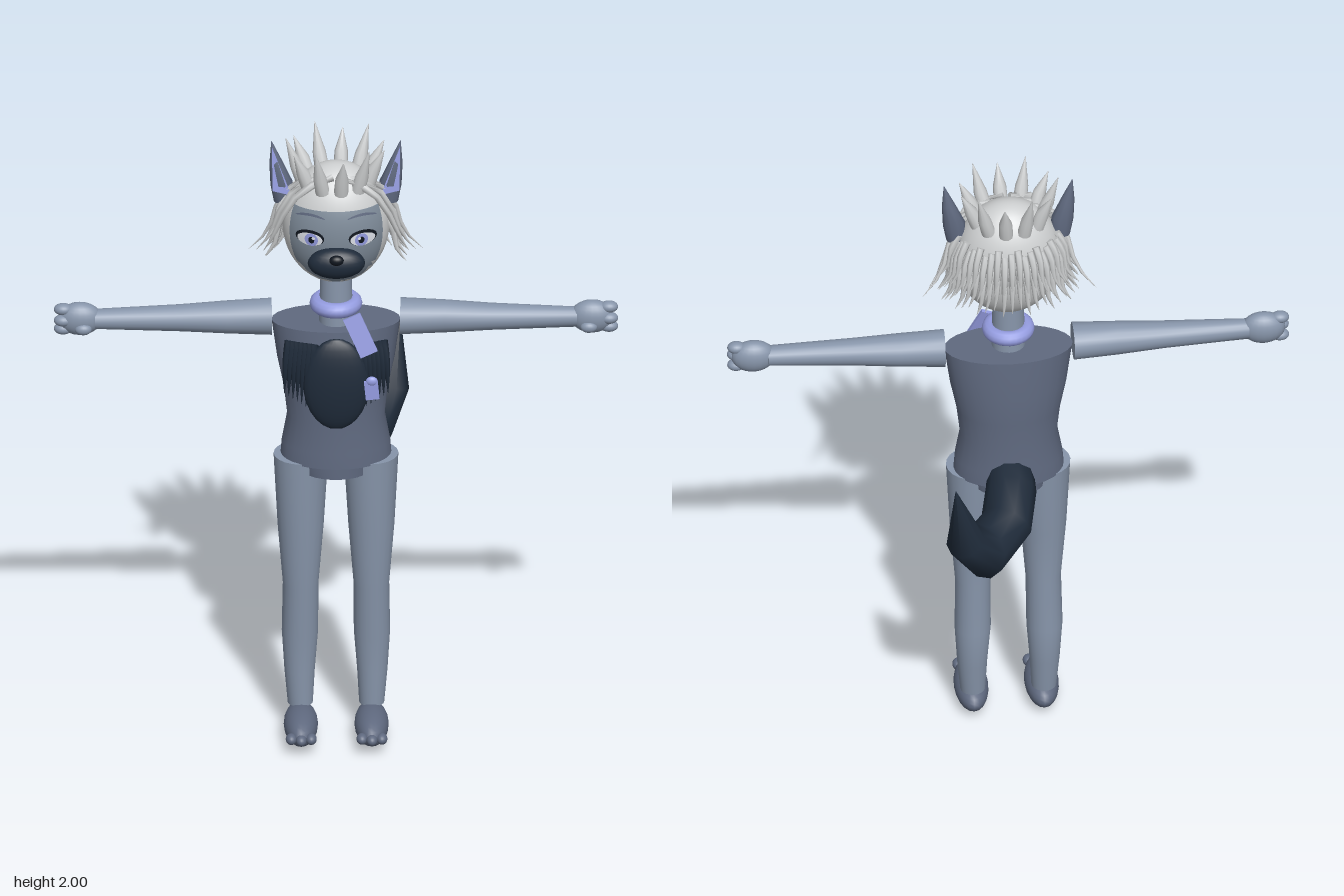
import * as THREE from 'three';

const mat = (name, color, side = THREE.FrontSide) => {
  const m = new THREE.MeshStandardMaterial({ color, side });
  m.name = name;
  return m;
};
const limbMat = mat('blueGreySkin', 0x8795aa);
const slate = mat('slateCloth', 0x5f697f);
const navy = mat('navyFur', 0x1f2b3a);
const lavender = mat('lavender', 0x949ce0, THREE.DoubleSide);
const hairMat = mat('paleHair', 0xcdcfd0);
const faceMat = mat('greyFace', 0x7f8c9a);
const white = mat('eyeWhite', 0xe8ecf4);
const black = mat('noseBlack', 0x10161f);

// Skin a row of elliptical rings, each given as [x, y, z, ra, rb]
function loft(rings, sides, material, name) {
  const pos = [], idx = [], n = rings.length;
  const P = rings.map(r => new THREE.Vector3(r[0], r[1], r[2]));
  rings.forEach((r, i) => {
    const t = P[Math.min(i + 1, n - 1)].clone().sub(P[Math.max(i - 1, 0)]).normalize();
    const u = Math.abs(t.x) > 0.9 ? new THREE.Vector3(0, 0, 1) : new THREE.Vector3(1, 0, 0);
    u.addScaledVector(t, -u.dot(t)).normalize();
    const v = t.clone().cross(u);
    for (let j = 0; j < sides; j++) {
      const a = j / sides * Math.PI * 2;
      const p = P[i].clone().addScaledVector(u, Math.cos(a) * r[3]).addScaledVector(v, Math.sin(a) * (r[4] ?? r[3]));
      pos.push(p.x, p.y, p.z);
    }
  });
  for (let i = 0; i < n - 1; i++) for (let j = 0; j < sides; j++) {
    const k = (j + 1) % sides, a = i * sides + j, b = i * sides + k;
    idx.push(a, b, a + sides, b, b + sides, a + sides);
  }
  // End caps have their own vertices so the rims stay sharp
  for (const i of [0, n - 1]) {
    const base = pos.length / 3;
    pos.push(...pos.slice(i * sides * 3, (i + 1) * sides * 3), P[i].x, P[i].y, P[i].z);
    for (let j = 0; j < sides; j++) {
      const k = (j + 1) % sides;
      if (i) idx.push(base + sides, base + j, base + k);
      else idx.push(base + sides, base + k, base + j);
    }
  }
  const g = new THREE.BufferGeometry();
  g.setAttribute('position', new THREE.Float32BufferAttribute(pos, 3));
  g.setIndex(idx);
  g.computeVertexNormals();
  const m = new THREE.Mesh(g, material);
  m.name = name;
  return m;
}

function ball(x, y, z, rx, ry, rz, material, name) {
  const m = new THREE.Mesh(new THREE.SphereGeometry(1, 20, 14), material);
  m.position.set(x, y, z);
  m.scale.set(rx, ry, rz);
  m.name = name;
  return m;
}

function box(x, y, z, w, h, d, turn, material, name) {
  const m = new THREE.Mesh(new THREE.BoxGeometry(w, h, d), material);
  m.position.set(x, y, z);
  m.rotation.z = turn;
  m.name = name;
  return m;
}

// Tapering strand through a few points
function strand(points, r, material, name) {
  const curve = new THREE.CatmullRomCurve3(points.map(p => new THREE.Vector3(...p)));
  const rings = curve.getPoints(6).map((p, i) => [p.x, p.y, p.z, r * (1 - (i / 6) ** 2 * 0.95)]);
  return loft(rings, 6, material, name);
}

const HEAD = { y: 1.72, z: 0.14, rx: 0.163, ry: 0.198, rz: 0.125 };

// Thin patch laid on the front of the head
function patch(x, y, w, h, lift, material, name, bend = 0) {
  const g = new THREE.RingGeometry(0.001, 1, 24, 4);
  const p = g.attributes.position;
  for (let i = 0; i < p.count; i++) {
    const px = x + p.getX(i) * w, py = y + p.getY(i) * h - bend * p.getX(i) ** 2;
    const q = Math.max(0, 1 - (px / HEAD.rx) ** 2 - ((py - HEAD.y) / HEAD.ry) ** 2);
    p.setXYZ(i, px, py, HEAD.z + HEAD.rz * Math.sqrt(q) + lift);
  }
  g.computeVertexNormals();
  const m = new THREE.Mesh(g, material);
  m.name = name;
  return m;
}

function buildHead() {
  const g = new THREE.Group();
  g.name = 'head';
  // Skull, with the front faces in the mask colour
  const s = new THREE.SphereGeometry(1, 36, 28), p = s.attributes.position, ix = s.index.array;
  const skull = [], mask = [];
  for (let i = 0; i < ix.length; i += 3) {
    const t = [ix[i], ix[i + 1], ix[i + 2]];
    const y = (p.getY(t[0]) + p.getY(t[1]) + p.getY(t[2])) / 3;
    const z = (p.getZ(t[0]) + p.getZ(t[1]) + p.getZ(t[2])) / 3;
    (z > 0.46 && y < 0.45 ? mask : skull).push(...t);
  }
  s.setIndex([...skull, ...mask]);
  s.addGroup(0, skull.length, 0);
  s.addGroup(skull.length, mask.length, 1);
  s.scale(HEAD.rx, HEAD.ry, HEAD.rz);
  const skullMesh = new THREE.Mesh(s, [hairMat, faceMat]);
  skullMesh.position.set(0, HEAD.y, HEAD.z);
  skullMesh.name = 'skull';
  g.add(skullMesh);

  g.add(ball(0, 1.64, 0.265, 0.087, 0.05, 0.042, navy, 'muzzle'));
  g.add(ball(0, 1.668, 0.306, 0.022, 0.016, 0.015, black, 'nose'));

  for (const k of [-1, 1]) {
    // Eyes and brows
    g.add(patch(k * 0.08, 1.718, 0.043, 0.026, 0.002, black, 'lashes'));
    g.add(patch(k * 0.08, 1.714, 0.038, 0.021, 0.004, white, 'eyeWhite'));
    g.add(patch(k * 0.076, 1.714, 0.02, 0.021, 0.006, lavender, 'iris'));
    g.add(patch(k * 0.076, 1.714, 0.009, 0.011, 0.008, black, 'pupil'));
    g.add(patch(k * 0.07, 1.721, 0.005, 0.005, 0.0095, white, 'glint'));
    g.add(patch(k * 0.078, 1.792, 0.045, 0.004, 0.003, slate, 'brow', 0.01));
    // Ears
    g.add(loft([[k * 0.158, 1.79, 0.14, 0.03, 0.022], [k * 0.165, 1.85, 0.14, 0.034, 0.027],
      [k * 0.182, 1.92, 0.14, 0.02, 0.018], [k * 0.195, 1.99, 0.14, 0.001]], 10, slate, 'ear'));
    const inner = new THREE.BufferGeometry().setFromPoints([[0.135, 1.82, 0.168], [0.192, 1.835, 0.168],
      [0.194, 1.975, 0.15]].map(([x, y, z]) => new THREE.Vector3(k * x, y, z)));
    inner.computeVertexNormals();
    const innerMesh = new THREE.Mesh(inner, lavender);
    innerMesh.name = 'innerEar';
    g.add(innerMesh);
    // Locks framing the face
    for (let i = 0; i < 3; i++) g.add(strand([[k * 0.01, 1.895 - i * 0.006, 0.2 - i * 0.02],
      [k * (0.1 + i * 0.01), 1.865, 0.222 - i * 0.03], [k * (0.16 + i * 0.01), 1.77, 0.2 - i * 0.03],
      [k * (0.195 + i * 0.005), 1.68, 0.18 - i * 0.03],
      [k * (0.22 + i * 0.022), 1.63 - i * 0.012, 0.16 - i * 0.03]], 0.012, hairMat, 'frontLock'));
  }

  // Crown of spikes
  for (let i = 0; i < 11; i++) {
    const a = (i + 0.5) / 11 * Math.PI * 2, c = Math.cos(a), d = Math.sin(a);
    g.add(loft([[c * 0.1, 1.855, 0.14 + d * 0.085, 0.022], [c * 0.12, 1.91, 0.14 + d * 0.1, 0.02],
      [c * 0.152, i % 2 ? 2.0 : 1.975, 0.14 + d * 0.125, 0.001]], 10, hairMat, 'crownSpike'));
  }

  // Two layers of strands round the sides and back
  for (let row = 0; row < 2; row++) for (let i = 0; i < 27; i++) {
    const a = (i / 26 - 0.5) * Math.PI * 1.08, c = Math.sin(a), d = -Math.cos(a);
    const at = (y, rx, rz) => [c * rx, y, 0.14 + d * rz];
    const drop = row * 0.05 + (i % 3) * 0.012;
    g.add(strand([at(1.815 - drop, 0.15, 0.112), at(1.77 - drop, 0.175, 0.136),
      at(1.71 - drop, 0.185, 0.142), at(1.665 - drop, 0.215, 0.145)], 0.0115, hairMat, 'backHair'));
  }
  return g;
}

export function createModel() {
  const model = new THREE.Group();
  model.name = 'wolfFigure';

  // Torso, hem and neck
  model.add(loft([[0, 0.93, 0.13, 0.168, 0.118], [0, 0.98, 0.13, 0.164, 0.116], [0, 1.07, 0.13, 0.148, 0.11],
    [0, 1.16, 0.13, 0.158, 0.112], [0, 1.26, 0.13, 0.178, 0.112], [0, 1.385, 0.13, 0.195, 0.1]], 28, slate, 'torso'));
  model.add(loft([[0, 0.895, 0.13, 0.122, 0.117], [0, 0.94, 0.13, 0.13, 0.117]], 24, slate, 'hem'));
  model.add(loft([[0, 1.36, 0.14, 0.052], [0, 1.56, 0.14, 0.047]], 20, limbMat, 'neck'));

  for (const k of [-1, 1]) {
    const leg = new THREE.Group();
    leg.name = k > 0 ? 'leftLeg' : 'rightLeg';
    leg.add(loft([[k * 0.108, 0.09, 0.137, 0.038], [k * 0.11, 0.2, 0.132, 0.046], [k * 0.109, 0.33, 0.127, 0.055],
      [k * 0.107, 0.5, 0.145, 0.054], [k * 0.107, 0.7, 0.142, 0.07], [k * 0.106, 0.935, 0.14, 0.083]], 20, limbMat, 'leg'));
    leg.add(ball(k * 0.107, 0.05, 0.205, 0.052, 0.05, 0.122, slate, 'foot'));
    for (const t of [-1, 0, 1])
      leg.add(ball(k * 0.107 + t * 0.03, 0.05, t ? 0.31 : 0.32, 0.017, 0.017, 0.022, slate, 'toe'));
    model.add(leg);

    const arm = new THREE.Group();
    arm.name = k > 0 ? 'leftArm' : 'rightArm';
    arm.add(loft([[k * 0.195, 1.39, 0.125, 0.06, 0.056], [k * 0.33, 1.39, 0.128, 0.053, 0.05],
      [k * 0.47, 1.39, 0.132, 0.044, 0.041], [k * 0.73, 1.39, 0.137, 0.031, 0.031]], 20, limbMat, 'arm'));
    arm.add(ball(k * 0.775, 1.392, 0.137, 0.067, 0.053, 0.038, limbMat, 'hand'));
    for (const [y, z] of [[1.425, 0.14], [1.392, 0.15], [1.36, 0.14]])
      arm.add(ball(k * 0.826, y, z, 0.028, 0.018, 0.022, limbMat, 'finger'));
    arm.add(ball(k * 0.765, 1.37, 0.168, 0.026, 0.018, 0.018, limbMat, 'thumb'));
    model.add(arm);

    // Fur hanging beside the chest patch
    for (let i = 0; i < 7; i++) {
      const x = 0.075 + i * 0.013, z = 0.235 - i * 0.004;
      model.add(strand([[k * (x - 0.01), 1.345, z - 0.01], [k * x, 1.27, z + 0.006],
        [k * (x + 0.004), 1.13 + i * 0.007, z]], 0.013, navy, 'chestFur'));
    }
  }

  model.add(ball(0, 1.215, 0.235, 0.1, 0.152, 0.034, navy, 'chestPatch'));

  // Collar with hanging strap and tag
  const collar = new THREE.Mesh(new THREE.TorusGeometry(0.056, 0.024, 12, 28), lavender);
  collar.rotation.x = Math.PI / 2;
  collar.position.set(0, 1.443, 0.14);
  collar.name = 'collar';
  model.add(collar);
  const strap = box(0.073, 1.38, 0.238, 0.056, 0.13, 0.012, 0.42, lavender, 'strap');
  strap.rotation.x = -0.2;
  model.add(strap);
  model.add(box(0.107, 1.207, 0.262, 0.042, 0.06, 0.012, 0.1, lavender, 'tag'));
  model.add(ball(0.107, 1.237, 0.262, 0.018, 0.015, 0.01, lavender, 'tagBead'));

  // Tail sweeping back, to the left and up
  model.add(loft([[0, 0.96, 0.06, 0.07], [0.005, 0.94, -0.01, 0.077], [0.03, 0.895, -0.12, 0.08],
    [0.11, 0.865, -0.215, 0.083], [0.17, 0.96, -0.275, 0.058, 0.068], [0.2, 1.165, -0.3, 0.001]], 10, navy, 'tail'));

  model.add(buildHead());
  return model;
}
